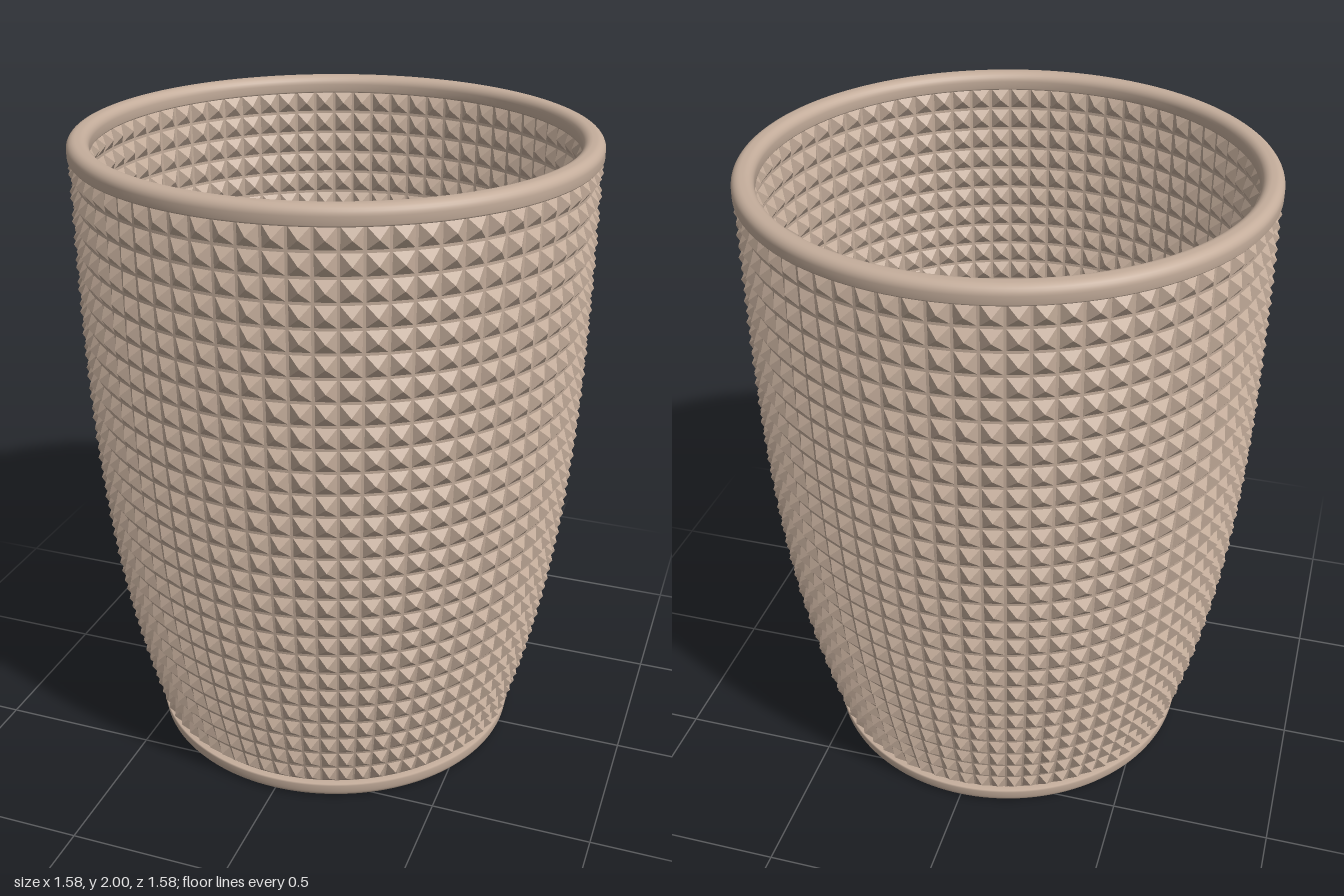
import * as THREE from 'three';

const COLS = 72, ROWS = 27;
const Y0 = 0.05, Y1 = 1.945;      // studded band of the wall
const WALL = 0.066, STUD = 0.022; // tip-to-tip thickness and stud height
const INNER_START = 2;            // first inside row above the floor
const STEP = (Y1 - Y0) / ROWS;
const rowY = (i) => Y0 + i * STEP;

// Outer tip radius at a given height
const tipRadius = (y) => 0.79 - 0.19 * Math.pow(Math.max(0, 1 - (y - Y0) / 1.9), 3.1);
const outerBase = (y) => tipRadius(y) - STUD;
const innerBase = (y) => tipRadius(y) - WALL + STUD;

const clay = new THREE.MeshStandardMaterial({ color: 0xc4ad9b });
clay.name = 'clay';

function lathe(name, points, segments = 144) {
  const geometry = new THREE.LatheGeometry(points.map(([r, y]) => new THREE.Vector2(r, y)), segments);
  const mesh = new THREE.Mesh(geometry, clay);
  mesh.name = name;
  return mesh;
}

// Quarter-round profile points
function arc(cx, cy, radius, from, to, steps = 6) {
  return Array.from({ length: steps + 1 }, (_, i) => {
    const a = from + (to - from) * i / steps;
    return [cx + radius * Math.cos(a), cy + radius * Math.sin(a)];
  });
}

// Rows of four-sided pyramids on a wall; side is 1 outside and -1 inside
function studs(name, base, side, firstRow) {
  const positions = [];
  const gap = 0.06;
  const point = (r, phi, y) => [r * Math.sin(phi), y, r * Math.cos(phi)];
  for (let row = firstRow; row < ROWS; row++) {
    const low = rowY(row + gap), high = rowY(row + 1 - gap), mid = rowY(row + 0.5);
    for (let col = 0; col < COLS; col++) {
      const angle = (c) => (col + c) * Math.PI * 2 / COLS;
      const left = angle(gap), right = angle(1 - gap);
      const corners = [
        point(base(low), left, low), point(base(low), right, low),
        point(base(high), right, high), point(base(high), left, high),
      ];
      const apex = point(base(mid) + side * STUD, angle(0.5), mid);
      for (let k = 0; k < 4; k++) {
        const a = corners[k], b = corners[(k + 1) % 4];
        positions.push(...(side > 0 ? a : b), ...(side > 0 ? b : a), ...apex);
      }
    }
  }
  const geometry = new THREE.BufferGeometry();
  geometry.setAttribute('position', new THREE.Float32BufferAttribute(positions, 3));
  geometry.computeVertexNormals();
  const mesh = new THREE.Mesh(geometry, clay);
  mesh.name = name;
  return mesh;
}

export function createModel() {
  const group = new THREE.Group();
  group.name = 'planter';

  // Wall surfaces under the studs
  const outer = [], inner = [];
  for (let i = 0; i <= ROWS; i++) outer.push([outerBase(rowY(i)), rowY(i)]);
  for (let i = ROWS; i >= INNER_START; i--) inner.push([innerBase(rowY(i)), rowY(i)]);
  group.add(lathe('outerWall', outer, COLS), lathe('innerWall', inner, COLS));
  group.add(studs('outerStuds', outerBase, 1, 0), studs('innerStuds', innerBase, -1, INNER_START));

  // Rounded rim
  const rimOut = 0.79, rimIn = 0.79 - WALL, top = 2, round = 0.027;
  group.add(lathe('rim', [
    [outerBase(Y1), Y1 - 0.002], [rimOut - 0.004, Y1], [rimOut, Y1 + 0.005],
    ...arc(rimOut - round, top - round, round, 0, Math.PI / 2),
    ...arc(rimIn + round, top - round, round, Math.PI / 2, Math.PI),
    [rimIn, Y1 + 0.005], [rimIn + 0.004, Y1], [innerBase(Y1), Y1 - 0.002],
  ]));

  // Rounded foot and underside
  const hole = 0.05;
  group.add(lathe('underside', [[hole, 0], [0.572, 0]]));
  group.add(lathe('foot', [
    ...arc(0.572, 0.026, 0.026, -Math.PI / 2, 0),
    [0.602, Y0 - 0.002], [0.598, Y0 + 0.002], [outerBase(Y0), Y0 + 0.003],
  ]));

  // Floor with a drain hole
  const floorY = rowY(INNER_START);
  group.add(lathe('floor', [[innerBase(floorY) + 0.002, floorY], [hole, floorY]]));
  group.add(lathe('drainHole', [[hole, floorY], [hole, 0]], 48));

  return group;
}
